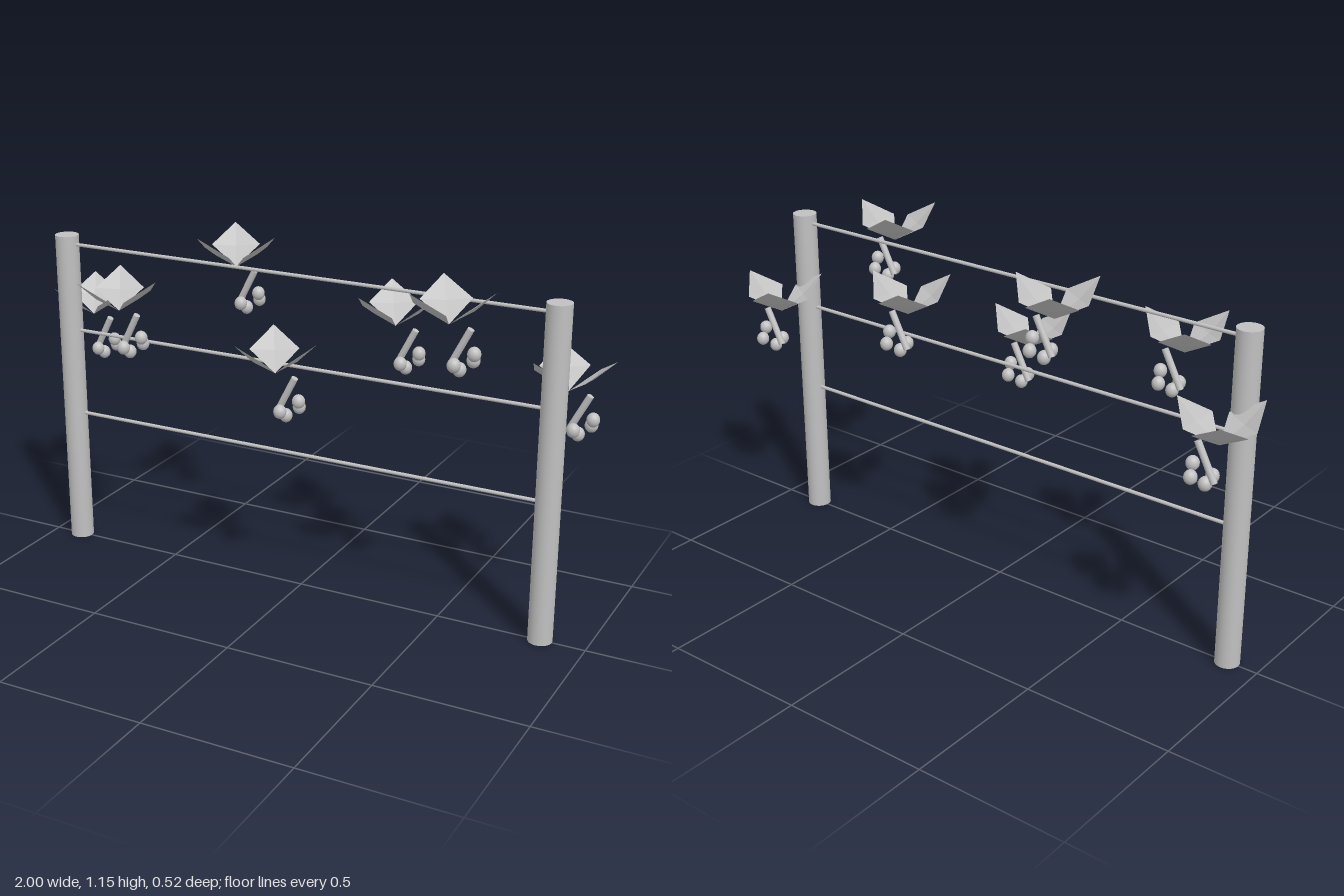
import * as THREE from 'three';

export function createModel() {
  const model = new THREE.Group();
  model.name = 'vineTrellis';
  const grey = new THREE.MeshStandardMaterial({ color: 0xc0c0c0, side: THREE.DoubleSide });
  grey.name = 'plain grey';

  const add = (parent, name, geometry, x = 0, y = 0, z = 0) => {
    const mesh = new THREE.Mesh(geometry, grey);
    mesh.name = name;
    mesh.position.set(x, y, z);
    parent.add(mesh);
    return mesh;
  };

  // Rod between two points
  const rod = (a, b, radius, sides) => {
    const dir = b.clone().sub(a);
    const geo = new THREE.CylinderGeometry(radius, radius, dir.length(), sides);
    geo.applyQuaternion(new THREE.Quaternion().setFromUnitVectors(
      new THREE.Vector3(0, 1, 0), dir.clone().normalize()));
    const mid = a.clone().add(b).multiplyScalar(0.5);
    return geo.translate(mid.x, mid.y, mid.z);
  };

  // Posts and wires
  const left = -0.895, right = 0.851;
  for (const x of [left, right]) {
    add(model, 'post', new THREE.CylinderGeometry(0.04, 0.04, 1.11, 32), x, 0.555, 0);
  }
  for (const y of [0.473, 0.776, 1.079]) {
    add(model, 'wire', rod(new THREE.Vector3(left, y, 0), new THREE.Vector3(right, y, 0), 0.006, 12));
  }

  // Cupped diamond leaf: four facets meeting at a sunken centre
  const base = [0, 0, 0], tip = [0.147, 0.116, 0];
  const sideA = [0.0735, 0.058, 0.08], sideB = [0.0735, 0.058, -0.08];
  const centre = [0.079, 0.051, 0];
  const rim = [base, sideA, tip, sideB];
  const corners = rim.flatMap((p, i) => [...centre, ...p, ...rim[(i + 1) % 4]]);
  const leafGeo = new THREE.BufferGeometry();
  leafGeo.setAttribute('position', new THREE.Float32BufferAttribute(corners, 3));
  leafGeo.computeVertexNormals();

  // Stem and grapes, measured from the point where the leaves meet
  const stemGeo = rod(new THREE.Vector3(0.07, -0.005, 0), new THREE.Vector3(0.008, -0.125, 0), 0.011, 16);
  const grapeGeo = new THREE.SphereGeometry(0.021, 20, 14).scale(1, 1.1, 1);
  const grapes = [
    [0.083, -0.08, 0], [0.03, -0.115, 0.026], [0.07, -0.11, -0.03], [0.038, -0.134, 0],
  ];

  // Vine sprigs alternate back and front and climb in steps of three
  const heights = [0.793, 0.917, 1.038];
  for (let i = 0; i < 7; i++) {
    const sprig = new THREE.Group();
    sprig.name = 'vineSprig';
    sprig.position.set(left + 0.291 * i, heights[i % 3], i % 2 ? 0.135 : -0.135);
    for (let k = 0; k < 3; k++) add(sprig, 'leaf', leafGeo).rotation.y = k * Math.PI * 2 / 3;
    add(sprig, 'stem', stemGeo);
    for (const p of grapes) add(sprig, 'grape', grapeGeo, ...p);
    model.add(sprig);
  }
  return model;
}
